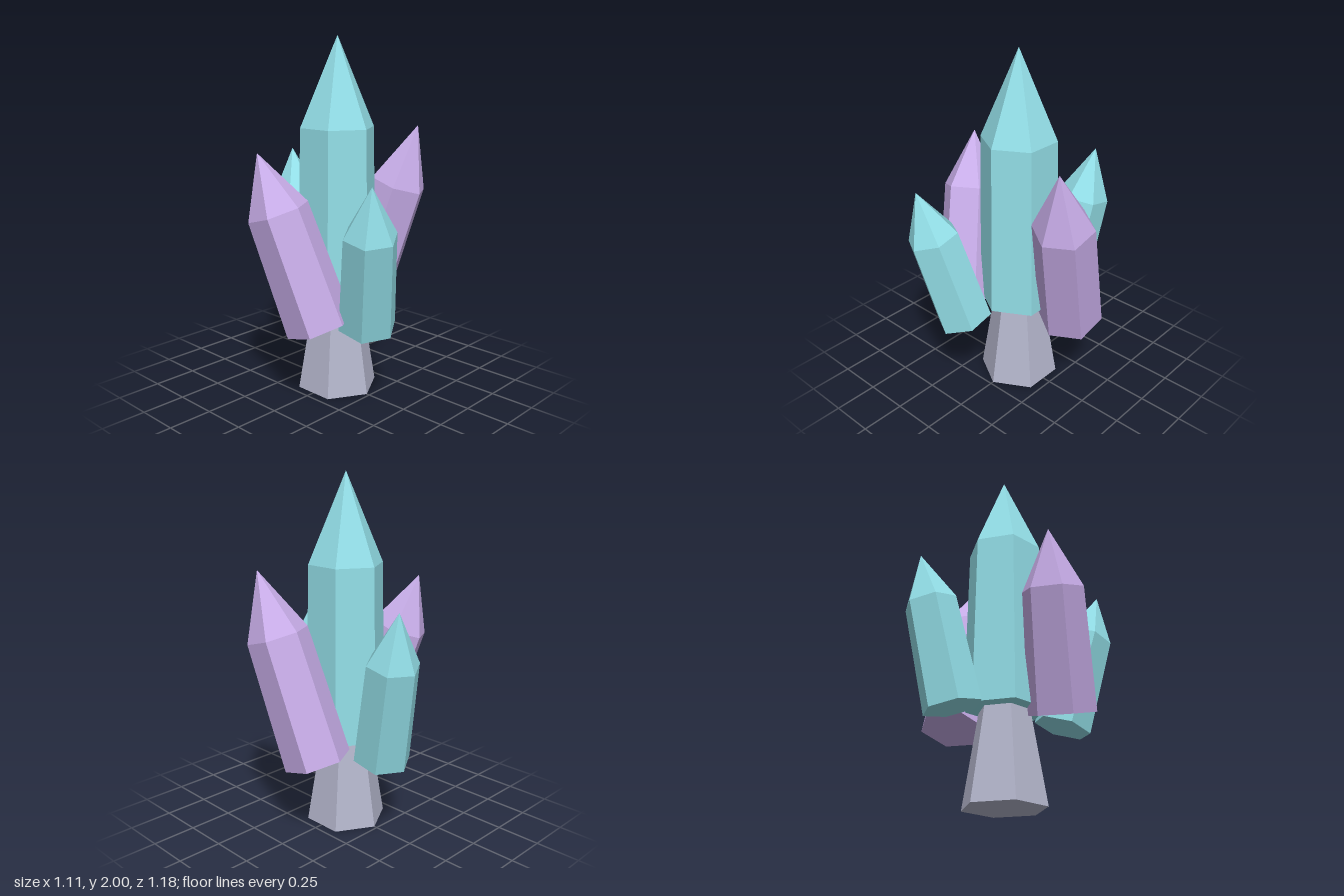
import * as THREE from 'three';

const TEAL = 0x93dfe8, PURPLE = 0xc9aeea, STONE = 0xb4b6cc;

const flat = (color) => new THREE.MeshStandardMaterial({ color, flatShading: true });

// Six-sided crystal: slightly tapered shaft for two thirds, then a point
function crystal(name, material, radius, base, tip) {
  const foot = new THREE.Vector3(...base);
  const axis = new THREE.Vector3(...tip).sub(foot);
  const length = axis.length();
  const profile = [
    [0, 0],
    [radius, 0],
    [radius * 0.91, length * 0.668],
    [0, length],
  ].map(([x, y]) => new THREE.Vector2(x, y));
  const mesh = new THREE.Mesh(new THREE.LatheGeometry(profile, 6), material);
  mesh.name = name;
  mesh.position.copy(foot);
  // Lean forward or back first, then sideways
  axis.normalize();
  mesh.rotation.set(Math.asin(axis.z), 0, -Math.atan2(axis.x, axis.y), 'ZYX');
  return mesh;
}

export function createModel() {
  const model = new THREE.Group();
  model.name = 'crystalCluster';
  const teal = flat(TEAL), purple = flat(PURPLE);

  // Tapered stone pedestal
  const pedestal = new THREE.Mesh(new THREE.CylinderGeometry(0.145, 0.232, 0.52, 6), flat(STONE));
  pedestal.name = 'pedestal';
  pedestal.position.y = 0.26;
  model.add(pedestal);

  // Upright main crystal and four leaning outward around it
  model.add(
    crystal('mainCrystal', teal, 0.232, [0, 0.52, 0], [0, 2, 0]),
    crystal('leftCrystal', purple, 0.185, [0.313, 0.47, -0.095], [0.452, 1.5, 0.207]),
    crystal('rightCrystal', purple, 0.185, [-0.288, 0.47, 0.142], [-0.47, 1.4, -0.13]),
    crystal('frontCrystal', teal, 0.161, [-0.118, 0.475, 0.332], [-0.28, 1.275, 0.498]),
    crystal('backCrystal', teal, 0.161, [0.048, 0.475, -0.325], [0.136, 1.335, -0.508]),
  );
  return model;
}
